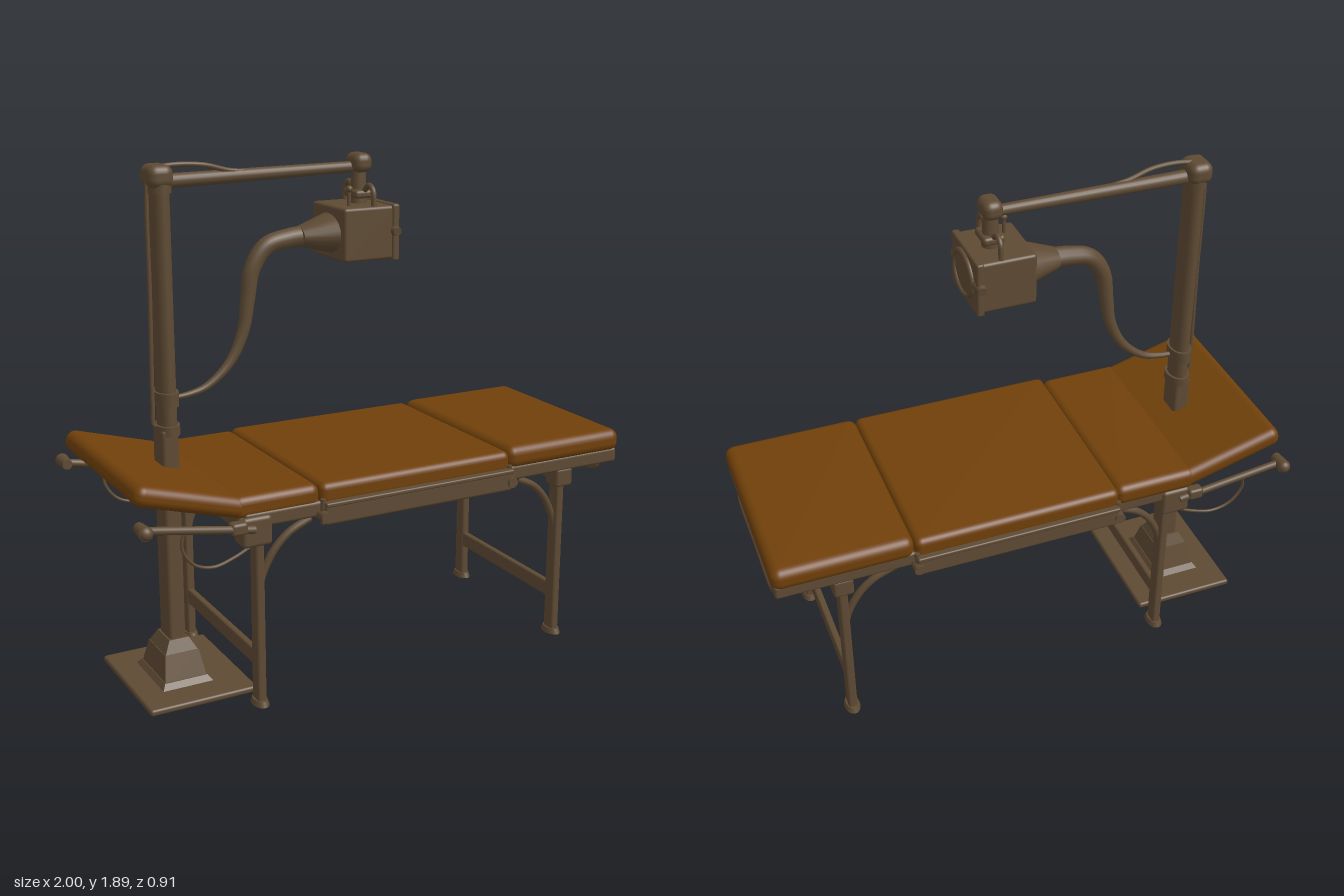
import * as THREE from 'three';
import { RoundedBoxGeometry } from 'three/addons/geometries/RoundedBoxGeometry.js';

const metal = new THREE.MeshStandardMaterial({ color: 0x5e4a33 });
metal.name = 'bronze metal';
const leather = new THREE.MeshStandardMaterial({ color: 0x70400a });
leather.name = 'tan leather';

const V = (x, y, z) => new THREE.Vector3(x, y, z);

export function createModel() {
  const root = new THREE.Group();
  root.name = 'treatmentTable';

  const add = (name, geo, x = 0, y = 0, z = 0, mat = metal) => {
    const m = new THREE.Mesh(geo, mat);
    m.name = name;
    m.position.set(x, y, z);
    root.add(m);
    return m;
  };

  // Box from ranges, with softened edges
  const block = (name, x0, x1, y0, y1, z0, z1, r = 0.006, mat = metal) =>
    add(name, new RoundedBoxGeometry(x1 - x0, y1 - y0, z1 - z0, 3, r),
      (x0 + x1) / 2, (y0 + y1) / 2, (z0 + z1) / 2, mat);

  // Round bar between two points
  const rod = (name, a, b, ra, rb = ra) => {
    const m = add(name, new THREE.CylinderGeometry(rb, ra, a.distanceTo(b), 20));
    m.position.copy(a).add(b).multiplyScalar(0.5);
    m.quaternion.setFromUnitVectors(V(0, 1, 0), b.clone().sub(a).normalize());
    return m;
  };

  // Tube along points, tapering from r0 to r1
  const hose = (name, pts, r0, r1 = r0, seg = 48) => {
    const curve = new THREE.CatmullRomCurve3(pts);
    const geo = new THREE.TubeGeometry(curve, seg, r0, 12);
    const p = geo.attributes.position, v = V(0, 0, 0);
    for (let i = 0; i < p.count; i++) {
      const t = Math.floor(i / 13) / seg, c = curve.getPointAt(t);
      v.fromBufferAttribute(p, i).sub(c).multiplyScalar(1 + (r1 / r0 - 1) * t).add(c);
      p.setXYZ(i, v.x, v.y, v.z);
    }
    return add(name, geo);
  };

  // Box whose top face is narrower than its base
  const frustum = (name, x, y0, y1, w0, d0, w1, d1) => {
    const geo = new THREE.BoxGeometry(w0, y1 - y0, d0), p = geo.attributes.position;
    for (let i = 0; i < p.count; i++)
      if (p.getY(i) > 0) { p.setX(i, p.getX(i) * w1 / w0); p.setZ(i, p.getZ(i) * d1 / d0); }
    geo.computeVertexNormals();
    return add(name, geo, x, (y0 + y1) / 2, 0);
  };

  // Cushions
  block('footCushion', 0.475, 0.993, 0.735, 0.822, -0.392, 0.385, 0.035, leather);
  block('middleCushion', -0.315, 0.475, 0.73, 0.812, -0.395, 0.39, 0.026, leather);
  block('neckCushion', -0.635, -0.31, 0.725, 0.808, -0.383, 0.373, 0.03, leather);
  const head = add('headCushion', new RoundedBoxGeometry(0.44, 0.076, 0.756, 4, 0.034),
    -0.772, 0.813, -0.005, leather);
  head.rotation.z = -0.277;

  // Bed frame
  block('bedPanel', -0.6, 0.97, 0.7, 0.745, -0.35, 0.35);
  block('footEndRail', 0.94, 0.985, 0.69, 0.75, -0.365, 0.365, 0.012);
  block('headEndRail', -0.62, -0.57, 0.68, 0.74, -0.365, 0.365, 0.012);
  hose('footHandle', [V(0.96, 0.7, -0.28), V(0.968, 0.65, -0.275), V(0.97, 0.637, -0.24),
    V(0.97, 0.637, 0), V(0.97, 0.637, 0.24), V(0.968, 0.65, 0.275), V(0.96, 0.7, 0.28)], 0.012);

  for (const s of [1, -1]) {
    const z = (a, b) => s > 0 ? [a, b] : [-b, -a];
    block('sideRail', -0.6, 0.985, 0.69, 0.748, ...z(0.335, 0.375), 0.012);
    block('middleRail', -0.31, 0.475, 0.665, 0.742, ...z(0.365, 0.41), 0.012);
    block('middleRailLip', -0.31, 0.475, 0.733, 0.75, ...z(0.37, 0.418));
    for (const x of [-0.31, 0.47]) {
      rod('hinge', V(x, 0.7, s * 0.36), V(x, 0.7, s * 0.42), 0.02);
      rod('hingePin', V(x, 0.67, s * 0.39), V(x, 0.76, s * 0.39), 0.01);
    }

    // Head grab bars with end knobs and drooping cable
    rod('grabBar', V(-0.57, 0.693, s * 0.385), V(-0.975, 0.768, s * 0.405), 0.014);
    rod('grabKnob', V(-0.978, 0.769, s * 0.37), V(-0.978, 0.769, s * 0.44), 0.019, 0.025);
    add('grabKnobEnd', new THREE.SphereGeometry(0.025, 16, 12), -0.978, 0.769, s * 0.432);
    block('grabClamp', -0.66, -0.6, 0.685, 0.73, ...z(0.36, 0.405), 0.012);
    hose('bedCable', [V(-0.83, 0.735, s * 0.39), V(-0.835, 0.67, s * 0.385), V(-0.79, 0.605, s * 0.38),
      V(-0.72, 0.582, s * 0.375), V(-0.64, 0.6, s * 0.37), V(-0.56, 0.635, s * 0.365)], 0.006);

    // Legs, brackets and curved braces
    for (const [x, dir] of [[-0.535, 1], [0.74, -1]]) {
      block('leg', x - 0.017, x + 0.017, 0.015, 0.7, ...z(0.297, 0.353), 0.01);
      const foot = add('legFoot', new THREE.CylinderGeometry(0.034, 0.042, 0.02, 24), x, 0.018, s * 0.325);
      foot.scale.set(0.72, 1, 1.15);
      if (dir > 0) block('headLegBracket', -0.612, -0.5, 0.625, 0.735, ...z(0.3, 0.385), 0.015);
      else block('footLegBracket', 0.702, 0.778, 0.625, 0.7, ...z(0.3, 0.375), 0.012);
      hose('legBrace', [V(x, 0.43, s * 0.325), V(x + dir * 0.02, 0.5, s * 0.325),
        V(x + dir * 0.065, 0.585, s * 0.33), V(x + dir * 0.12, 0.64, s * 0.335),
        V(x + dir * 0.2, 0.68, s * 0.34)], 0.014);
    }
  }
  for (const x of [-0.535, 0.74]) {
    block('legCrossbar', x - 0.013, x + 0.013, 0.15, 0.212, -0.31, 0.31, 0.008);
    block('bedCrossbeam', x - 0.025, x + 0.025, 0.64, 0.71, -0.32, 0.32, 0.01);
  }

  // Column on its floor base
  block('basePlate', -0.918, -0.508, 0.01, 0.035, -0.252, 0.252, 0.01);
  frustum('pedestalFlare', -0.73, 0.03, 0.055, 0.2, 0.28, 0.165, 0.235);
  frustum('pedestal', -0.73, 0.05, 0.145, 0.16, 0.23, 0.13, 0.165);
  frustum('pedestalCap', -0.73, 0.14, 0.19, 0.13, 0.165, 0.075, 0.115);
  block('lowerColumn', -0.762, -0.698, 0.15, 0.98, -0.05, 0.05, 0.014);
  const ovalPost = (name, y0, y1, rx, rz) => {
    const m = add(name, new THREE.CylinderGeometry(1, 1, y1 - y0, 32), -0.725, (y0 + y1) / 2, 0);
    m.scale.set(rx, 1, rz);
  };
  ovalPost('upperColumn', 0.96, 1.85, 0.034, 0.05);
  ovalPost('lowerCollar', 0.955, 0.99, 0.044, 0.06);
  ovalPost('upperCollar', 1.06, 1.11, 0.042, 0.063);
  ovalPost('topCollar', 1.8, 1.83, 0.042, 0.056);
  block('columnHead', -0.775, -0.685, 1.815, 1.895, -0.058, 0.058, 0.03);
  hose('columnConduit', [V(-0.745, 0.975, 0), V(-0.772, 0.985, 0), V(-0.775, 1.05, 0), V(-0.77, 1.45, 0),
    V(-0.768, 1.8, 0), V(-0.76, 1.875, 0), V(-0.72, 1.888, 0)], 0.008);

  // Swing arm
  rod('swingArm', V(-0.72, 1.835, 0), V(0.03, 1.845, -0.01), 0.026, 0.02);
  hose('armCable', [V(-0.73, 1.885, 0), V(-0.65, 1.89, 0.01), V(-0.56, 1.883, 0.012),
    V(-0.47, 1.86, 0.005), V(-0.38, 1.85, 0)], 0.009);
  block('elbowJoint', 0.01, 0.082, 1.825, 1.895, -0.055, 0.045, 0.028);
  rod('lampNeck', V(0.045, 1.71, -0.005), V(0.045, 1.84, -0.005), 0.032, 0.026);
  block('neckCollar', 0.005, 0.085, 1.735, 1.765, -0.05, 0.05, 0.012);

  // Lamp head with lens ring, yokes and knobs
  block('lampBody', -0.082, 0.122, 1.522, 1.715, -0.125, 0.125, 0.012);
  block('lampFrontPlate', 0.112, 0.14, 1.515, 1.72, -0.132, 0.132, 0.008);
  const lens = add('lensRing', new THREE.TorusGeometry(0.092, 0.011, 12, 40), 0.142, 1.622, 0);
  lens.rotation.y = Math.PI / 2;
  lens.scale.y = 0.85;
  const glass = add('lensDisc', new THREE.CylinderGeometry(0.088, 0.088, 0.008, 40), 0.14, 1.622, 0);
  glass.rotation.z = -Math.PI / 2;
  glass.scale.x = 0.85;
  for (const s of [1, -1]) {
    rod('sideKnob', V(0.125, 1.628, s * 0.1), V(0.125, 1.622, s * 0.143), 0.024, 0.016);
    hose('lampYoke', [V(0.045, 1.755, s * 0.03), V(0.045, 1.785, s * 0.075), V(0.045, 1.77, s * 0.102),
      V(0.045, 1.71, s * 0.11)], 0.01);
  }
  rod('adjustLever', V(-0.03, 1.71, 0.06), V(-0.028, 1.775, 0.06), 0.007);
  add('leverTip', new THREE.SphereGeometry(0.013, 14, 10), -0.028, 1.775, 0.06);

  // Horn and tapering hose back to the column
  const horn = rod('lampHorn', V(-0.2, 1.61, 0), V(-0.07, 1.615, 0), 0.036, 0.075);
  horn.scale.z = 1.4;
  hose('airHose', [V(-0.14, 1.612, 0), V(-0.25, 1.606, 0), V(-0.33, 1.585, 0), V(-0.385, 1.51, 0),
    V(-0.405, 1.4, 0), V(-0.425, 1.29, 0), V(-0.48, 1.18, 0), V(-0.57, 1.105, 0),
    V(-0.64, 1.085, 0), V(-0.7, 1.08, 0)], 0.04, 0.009, 64);
  return root;
}
